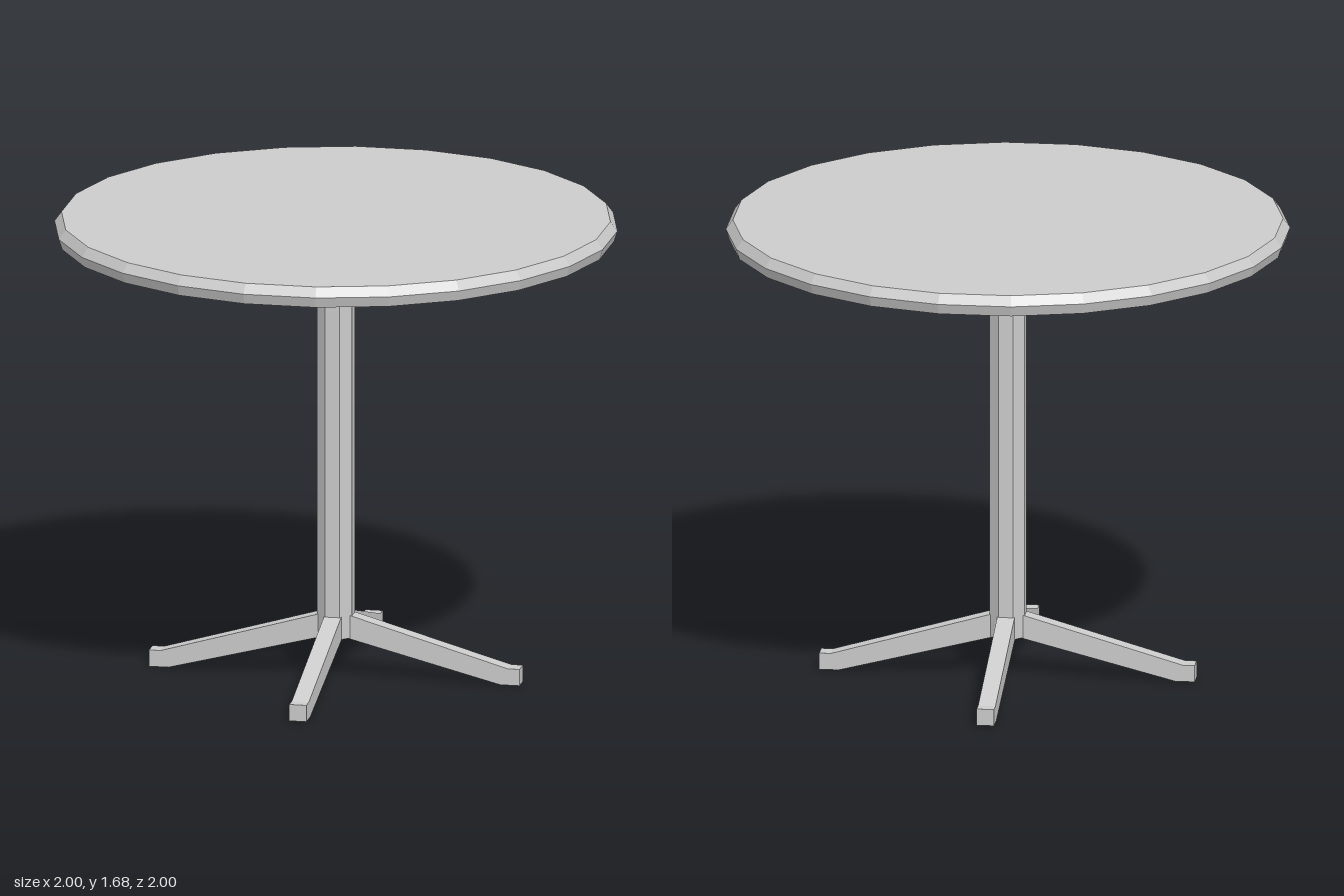
import * as THREE from 'three';

const material = new THREE.MeshStandardMaterial({ color: 0xcccccc, flatShading: true });
const deg = THREE.MathUtils.degToRad;
const TWIST = deg(-1.5); // slight turn of the whole table about its axis

function addMesh(parent, name, geometry, turn) {
  const mesh = new THREE.Mesh(geometry, material);
  mesh.name = name;
  mesh.rotation.y = turn;
  parent.add(mesh);
  return mesh;
}

export function createModel() {
  const table = new THREE.Group();
  table.name = 'pedestalTable';

  // Round top, 24 sides, with a bevelled rim
  const rim = [[0, 1.604], [0.988, 1.604], [1, 1.642], [0.975, 1.676], [0, 1.676]];
  const topGeometry = new THREE.LatheGeometry(rim.map(([r, y]) => new THREE.Vector2(r, y)), 24);
  addMesh(table, 'tableTop', topGeometry, TWIST);

  // Octagonal column
  const bottom = 0.142, height = 1.61 - bottom;
  const columnGeometry = new THREE.CylinderGeometry(0.068, 0.068, height, 8);
  columnGeometry.translate(0, bottom + height / 2, 0);
  addMesh(table, 'column', columnGeometry, TWIST);

  // Four sloping legs with flat feet, each on every second column face
  const side = [[0.045, 0.142], [0.6, 0], [0.67, 0], [0.67, 0.06], [0.628, 0.06], [0.045, 0.228]];
  const legShape = new THREE.Shape(side.map(([r, y]) => new THREE.Vector2(r, y)));
  const width = 0.062;
  const legGeometry = new THREE.ExtrudeGeometry(legShape, { depth: width, bevelEnabled: false });
  legGeometry.translate(0, 0, -width / 2);
  const legs = new THREE.Group();
  legs.name = 'legs';
  for (let i = 0; i < 4; i++) {
    addMesh(legs, `leg${i + 1}`, legGeometry, TWIST + deg(22.5 - 90 + i * 90));
  }
  table.add(legs);

  return table;
}
